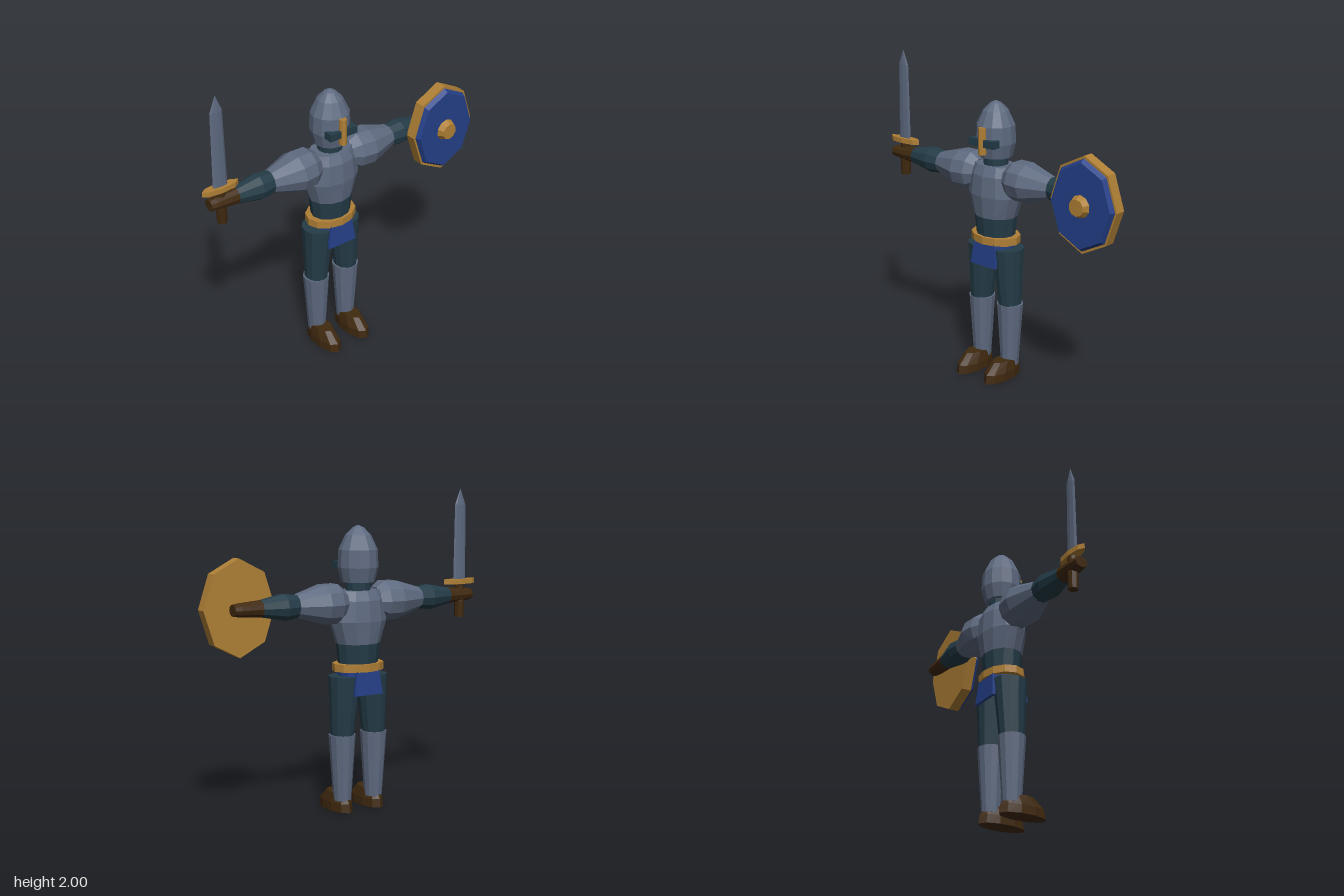
import * as THREE from 'three';

const makeMat = (name, color) => {
  const m = new THREE.MeshStandardMaterial({ color, flatShading: true });
  m.name = name;
  return m;
};

// Faceted tube through rings listed from top to bottom: [y, rx, rz, cx, cz]
function loft(rings, sides = 12) {
  const g = new THREE.CylinderGeometry(1, 1, 1, sides, rings.length - 1);
  const p = g.attributes.position;
  for (let i = 0; i < p.count; i++) {
    const row = Math.round((0.5 - p.getY(i)) * (rings.length - 1));
    const [y, rx, rz = rx, cx = 0, cz = 0] = rings[row];
    p.setXYZ(i, cx + p.getX(i) * rx, y, cz + p.getZ(i) * rz);
  }
  g.computeVertexNormals();
  return g;
}

function add(parent, name, geometry, material, x = 0, y = 0, z = 0) {
  const m = new THREE.Mesh(geometry, material);
  m.name = name;
  m.position.set(x, y, z);
  parent.add(m);
  return m;
}

function addGroup(parent, name, x = 0, y = 0, z = 0) {
  const g = new THREE.Group();
  g.name = name;
  g.position.set(x, y, z);
  parent.add(g);
  return g;
}

// Rounded boot: oval layers, with the top dropping toward the heel
function bootGeometry() {
  const g = loft([
    [0.12, 0.055, 0.105, 0, 0.045],
    [0.055, 0.07, 0.152, 0, 0.074],
    [0, 0.07, 0.161, 0, 0.074],
  ], 10);
  const p = g.attributes.position;
  for (let i = 0; i < p.count; i++) {
    if (p.getY(i) > 0.1) p.setY(i, 0.12 + Math.min(0, p.getZ(i) - 0.03) * 0.45);
  }
  g.computeVertexNormals();
  return g;
}

// Cloth panel that widens and swings outward toward the hem
function panelGeometry() {
  const g = new THREE.BoxGeometry(1, 0.155, 0.02);
  const p = g.attributes.position;
  for (let i = 0; i < p.count; i++) {
    const low = p.getY(i) < 0;
    p.setX(i, p.getX(i) * (low ? 0.206 : 0.165));
    p.setZ(i, p.getZ(i) + (low ? 0.008 : -0.004));
  }
  g.computeVertexNormals();
  return g;
}

export function createModel() {
  const steel = makeMat('steel', 0x5e6a80);
  const cloth = makeMat('dark teal cloth', 0x243c48);
  const gold = makeMat('gold', 0xb08036);
  const blue = makeMat('blue', 0x243f88);
  const leather = makeMat('brown leather', 0x40290f);

  const model = new THREE.Group();
  model.name = 'knight';
  const body = addGroup(model, 'body', -0.06, 0, -0.045);

  // Torso, neck and waist
  add(body, 'breastplate', loft([
    [1.39, 0.15, 0.1], [1.33, 0.175, 0.128], [1.2, 0.193, 0.138], [1.06, 0.147, 0.122],
  ]), steel);
  add(body, 'waist', loft([[1.06, 0.145, 0.12], [0.9, 0.128, 0.108]]), cloth);
  add(body, 'neck', loft([[1.47, 0.078], [1.37, 0.078]]), cloth);
  add(body, 'belt', loft([[0.938, 0.172, 0.13], [0.89, 0.172, 0.13]]), gold);
  add(body, 'hips', loft([[0.9, 0.13, 0.115], [0.84, 0.13, 0.115]]), blue);
  add(body, 'frontPanel', panelGeometry(), blue, 0, 0.8225, 0.108);
  add(body, 'backPanel', panelGeometry(), blue, 0, 0.8225, -0.108).rotation.y = Math.PI;

  // Helmet
  const head = addGroup(body, 'head');
  add(head, 'helmet', loft([
    [1.79, 0.002], [1.775, 0.035], [1.73, 0.08], [1.64, 0.122], [1.53, 0.127], [1.44, 0.105],
  ]), steel);
  add(head, 'visorSlit', new THREE.BoxGeometry(0.2, 0.047, 0.06), cloth, 0, 1.543, 0.11);
  add(head, 'noseGuard', loft([[1.64, 0.024, 0.03], [1.47, 0.024, 0.03]], 8), gold, 0, 0, 0.124);

  for (const side of [-1, 1]) {
    const label = side > 0 ? 'left' : 'right';

    // Legs
    const leg = addGroup(body, label + 'Leg');
    add(leg, 'thigh', loft([
      [0.86, 0.1, 0.108, side * 0.1], [0.46, 0.07, 0.078, side * 0.119],
    ], 12), cloth);
    add(leg, 'greave', loft([
      [0.49, 0.085, 0.086, side * 0.118], [0.07, 0.056, 0.06, side * 0.117],
    ], 12), steel);
    add(leg, 'boot', bootGeometry(), leather, side * 0.117);

    // Arms, built outward along their own y axis
    const arm = addGroup(body, label + 'Arm', 0, 1.315, 0);
    arm.rotation.z = -side * Math.PI / 2;
    add(arm, 'shoulderGuard', loft([
      [0.455, 0.071, 0.073], [0.27, 0.126, 0.136], [0.175, 0.128, 0.125], [0.12, 0.09, 0.09],
    ], 10), steel);
    add(arm, 'forearm', loft([
      [0.7, 0.052], [0.54, 0.083], [0.45, 0.072],
    ], 10), cloth);
    add(arm, 'glove', loft([
      [0.88, 0.036, 0.042], [0.84, 0.042, 0.047], [0.695, 0.053, 0.053],
    ], 10), leather);
  }

  // Sword
  const sword = addGroup(model, 'sword', -0.855, 0, -0.048);
  add(sword, 'grip', loft([[1.39, 0.028], [1.27, 0.034], [1.17, 0.031]], 8), leather);
  add(sword, 'crossguard', loft([[1.417, 0.125, 0.035], [1.385, 0.125, 0.035]], 8), gold);
  add(sword, 'blade', loft([
    [2, 0.001], [1.9, 0.042, 0.011], [1.41, 0.05, 0.014],
  ], 8), steel);

  // Shield, built facing up and tipped to face the front
  const shield = addGroup(model, 'shield', 0.732, 1.315, 0);
  shield.rotation.x = Math.PI / 2;
  add(shield, 'shieldRim', loft([[0.1, 0.24, 0.297], [0.03, 0.24, 0.297]], 8), gold);
  add(shield, 'shieldFace', loft([[0.13, 0.213, 0.262], [0.095, 0.23, 0.284]], 8), blue);
  add(shield, 'shieldBoss', loft([[0.168, 0.052], [0.125, 0.073]], 10), gold);

  return model;
}
